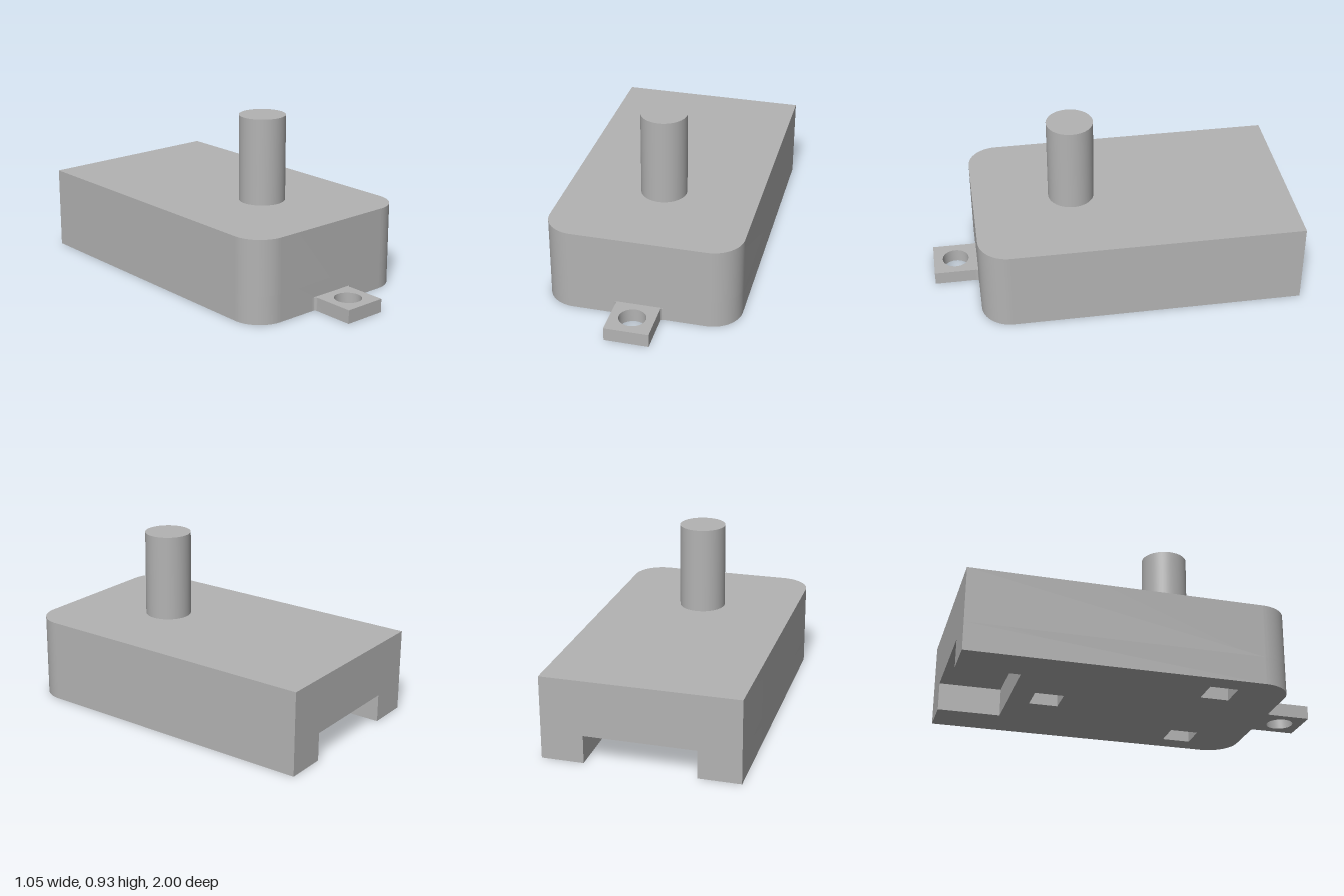
import * as THREE from 'three';
import { toCreasedNormals } from 'three/addons/utils/BufferGeometryUtils.js';

const W = 0.527, BACK = -1, FRONT = 0.757, TOP = 0.455, R = 0.165;
const POCKET_TOP = 0.153; // ceiling of the notch and sockets

// Plans are drawn as (x, -z) and raised along y
function slab(name, shape, y, height, material) {
  const geo = new THREE.ExtrudeGeometry(shape, { depth: height, bevelEnabled: false, curveSegments: 16 });
  geo.rotateX(-Math.PI / 2);
  geo.translate(0, y, 0);
  const mesh = new THREE.Mesh(toCreasedNormals(geo, 0.6), material);
  mesh.name = name;
  return mesh;
}

// Body outline: square back, rounded front corners, optional notch in the back edge
function bodyPlan(notched) {
  const s = new THREE.Shape();
  s.moveTo(-W, -FRONT + R);
  s.absarc(-W + R, -FRONT + R, R, Math.PI, Math.PI * 1.5, false);
  s.absarc(W - R, -FRONT + R, R, Math.PI * 1.5, Math.PI * 2, false);
  s.lineTo(W, -BACK);
  if (notched) {
    s.lineTo(0.3, -BACK);
    s.lineTo(0.3, 0.66);
    s.lineTo(-0.3, 0.66);
    s.lineTo(-0.3, -BACK);
  }
  s.lineTo(-W, -BACK);
  s.closePath();
  return s;
}

function squareHole(x, z, half) {
  const p = new THREE.Path();
  p.moveTo(x - half, -z - half);
  p.lineTo(x - half, -z + half);
  p.lineTo(x + half, -z + half);
  p.lineTo(x + half, -z - half);
  p.closePath();
  return p;
}

export function createModel() {
  const group = new THREE.Group();
  group.name = 'housing';
  const grey = new THREE.MeshStandardMaterial({ color: 0xb3b3b3 });
  grey.name = 'grey';

  // Lower body with the back notch and three square sockets
  const lower = bodyPlan(true);
  for (const [x, z] of [[0, -0.46], [0.335, 0.4], [-0.335, 0.4]]) lower.holes.push(squareHole(x, z, 0.078));
  group.add(slab('lowerBody', lower, 0, POCKET_TOP, grey));

  // Solid upper body
  group.add(slab('upperBody', bodyPlan(false), POCKET_TOP, TOP - POCKET_TOP, grey));

  // Front tab with small fillets at its root and a round hole
  const t = 0.12, f = 0.018;
  const tab = new THREE.Shape();
  tab.moveTo(-t, -1);
  tab.lineTo(t, -1);
  tab.lineTo(t, -FRONT - f);
  tab.quadraticCurveTo(t, -FRONT, t + f, -FRONT);
  tab.lineTo(-t - f, -FRONT);
  tab.quadraticCurveTo(-t, -FRONT, -t, -FRONT - f);
  tab.closePath();
  const eye = new THREE.Path();
  eye.absarc(0, -0.877, 0.073, 0, Math.PI * 2, true);
  tab.holes.push(eye);
  group.add(slab('frontTab', tab, 0, 0.074, grey));

  // Upright post
  const post = new THREE.Mesh(new THREE.CylinderGeometry(0.127, 0.127, 0.93 - TOP, 48), grey);
  post.position.set(0, (0.93 + TOP) / 2, 0.208);
  post.name = 'post';
  group.add(post);

  return group;
}
